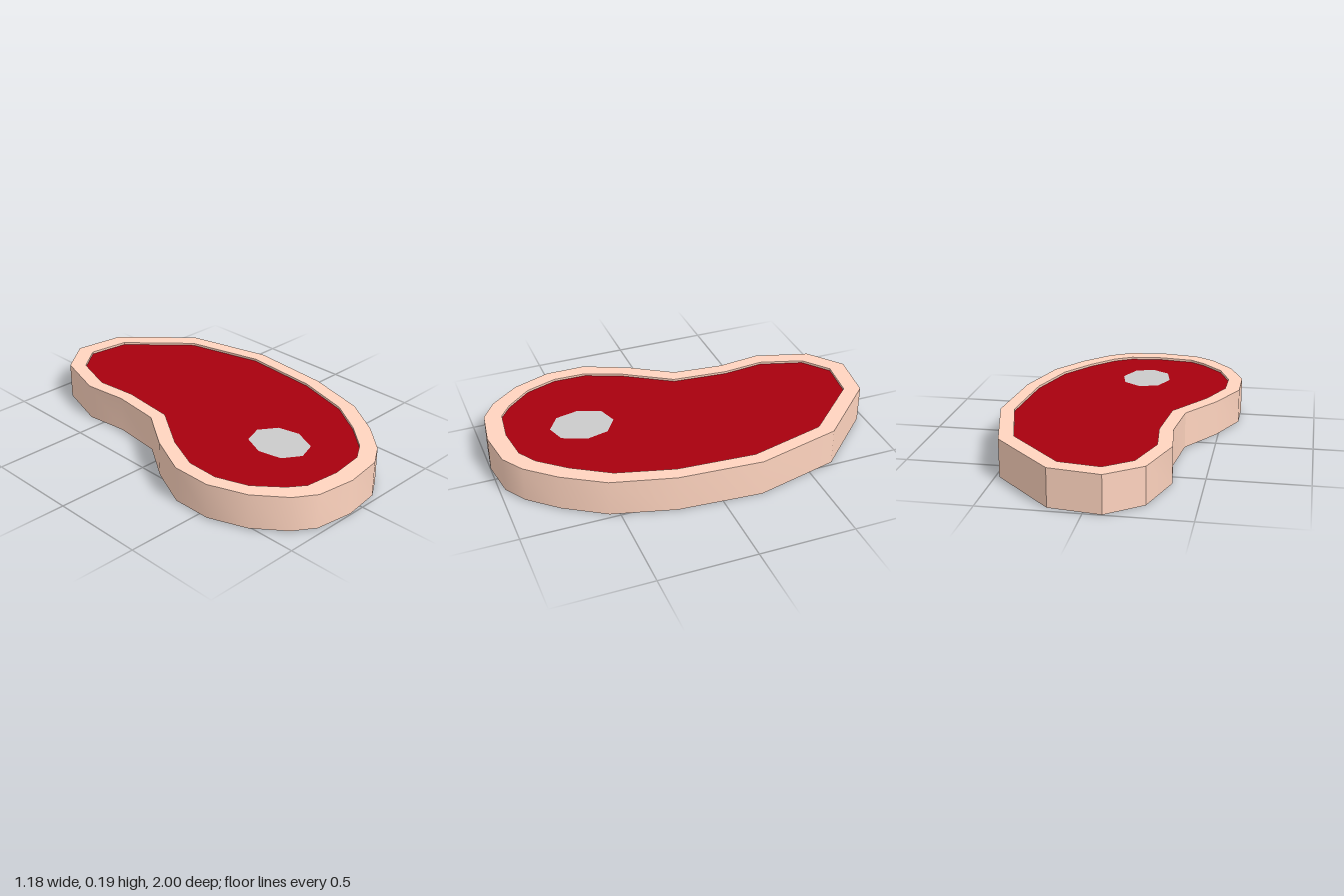
import * as THREE from 'three';
import { toCreasedNormals } from 'three/addons/utils/BufferGeometryUtils.js';

// Outlines as [x, z], seen from above
const RIM = [[-.09, -1], [.17, -.963], [.48, -.643], [.592, -.203], [.562, .23], [.478, .55], [.35, .755],
  [.222, .9], [.11, .972], [-.09, 1], [-.29, .972], [-.398, .9], [-.518, .75], [-.592, .554],
  [-.592, .347], [-.49, .119], [-.35, -.098], [-.323, -.362], [-.35, -.59], [-.265, -.865]];
const MEAT = [[-.07, -.908], [.14, -.88], [.417, -.59], [.52, -.193], [.493, .21], [.413, .502], [.297, .687],
  [.18, .824], [.085, .883], [-.09, .904], [-.27, .883], [-.35, .824], [-.46, .697], [-.518, .533],
  [-.514, .363], [-.434, .172], [-.28, -.07], [-.253, -.362], [-.275, -.58], [-.205, -.803]];
const BONE = [[-.043, .353], [.048, .415], [.074, .527], [.022, .65], [-.074, .682], [-.164, .623], [-.19, .502], [-.143, .387]];

const MID = 0.0975;
const points = (outline) => outline.map(([x, z]) => new THREE.Vector2(x, -z));

// Flat slab with a hole; its thickness tapers slightly across the cut
function slab(name, outline, hole, inset, color) {
  const shape = new THREE.Shape(points(outline));
  // The hole runs against the outline so that its walls face inward
  if (hole) shape.holes.push(new THREE.Path(points(hole).reverse()));
  const geo = new THREE.ExtrudeGeometry(shape, { depth: 2, bevelEnabled: false });
  geo.translate(0, 0, -1).rotateX(-Math.PI / 2);
  const p = geo.attributes.position;
  for (let i = 0; i < p.count; i++) {
    const half = 0.094 + 0.004 * p.getX(i) - 0.002 * p.getZ(i) - inset;
    p.setY(i, MID + Math.sign(p.getY(i)) * half);
  }
  const mesh = new THREE.Mesh(toCreasedNormals(geo, 0.47), new THREE.MeshStandardMaterial({ color }));
  mesh.name = name;
  return mesh;
}

export function createModel() {
  const steak = new THREE.Group();
  steak.name = 'steak';
  // Fat rim stands proud of the meat and bone on both faces
  steak.add(
    slab('fatRim', RIM, MEAT, 0, 0xffd4bf),
    slab('meat', MEAT, BONE, 0.012, 0xa8000e),
    slab('bone', BONE, null, 0.012, 0xcccccc),
  );
  return steak;
}
